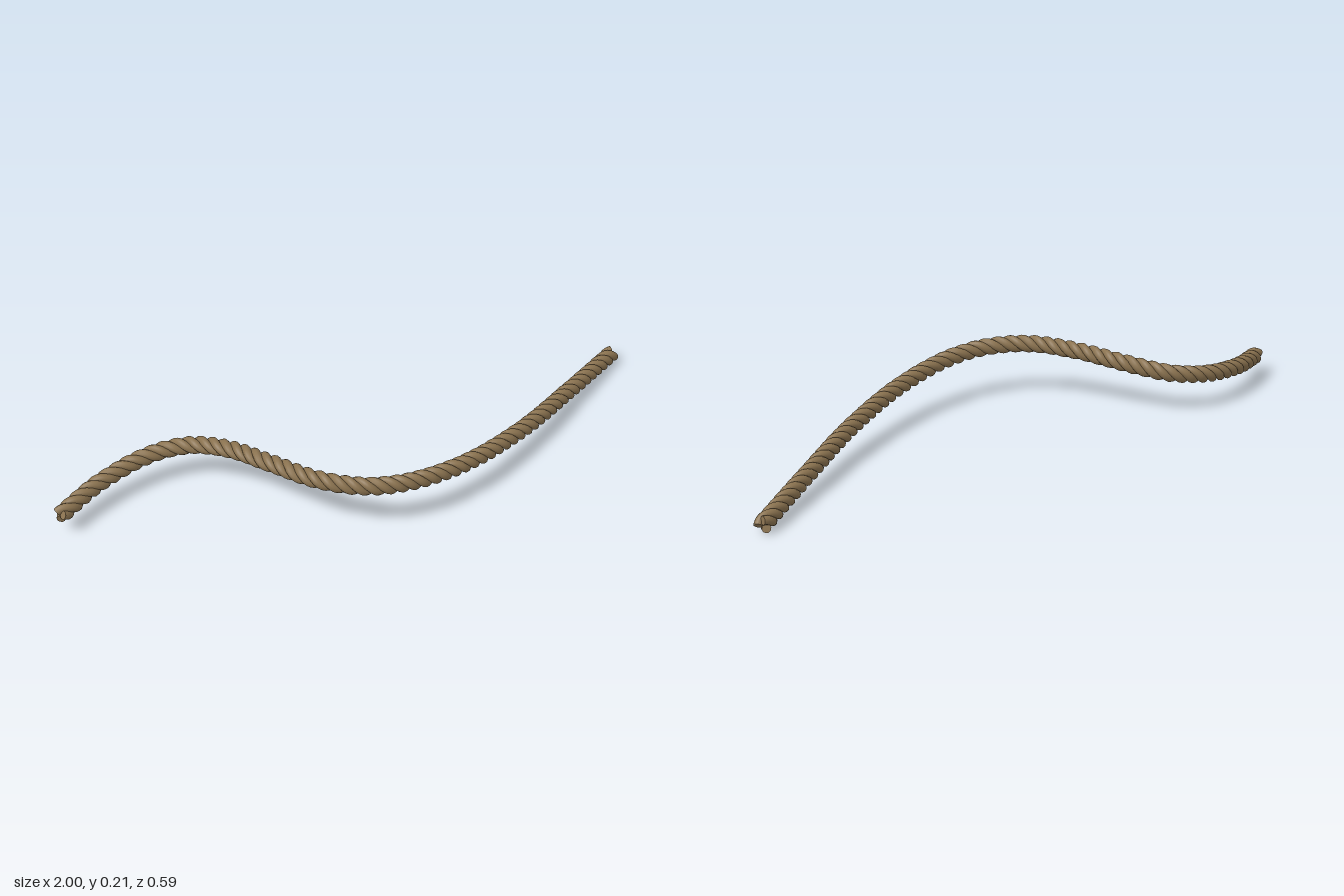
import * as THREE from 'three';

const STRANDS = 3;
const STRAND_RADIUS = 0.0138;
const LAY_RADIUS = 0.0148; // distance of each strand from the rope's centre line
const PITCH = 0.12; // length of one full twist
const SAMPLES = 420;

// Centre line of the rope, from its right end to its left end
const PATH = [
  [-0.985, 0.07, -0.163], [-0.825, 0.09, -0.238], [-0.65, 0.114, -0.268],
  [-0.53, 0.135, -0.232], [-0.44, 0.158, -0.13], [-0.365, 0.175, 0.013],
  [-0.275, 0.18, 0.158], [-0.16, 0.171, 0.24], [-0.025, 0.156, 0.264],
  [0.19, 0.128, 0.227], [0.457, 0.094, 0.115], [0.725, 0.061, -0.04],
  [0.985, 0.029, -0.197],
];

// One strand winding around the centre line
function strandCurve(spine, frames, phase) {
  const turns = spine.getLength() / PITCH;
  const points = [];
  for (let i = 0; i <= SAMPLES; i++) {
    const t = i / SAMPLES;
    const angle = phase + t * turns * Math.PI * 2;
    points.push(spine.getPointAt(t)
      .addScaledVector(frames.normals[i], Math.cos(angle) * LAY_RADIUS)
      .addScaledVector(frames.binormals[i], Math.sin(angle) * LAY_RADIUS));
  }
  const curve = new THREE.CatmullRomCurve3(points);
  curve.arcLengthDivisions = SAMPLES * 3;
  return curve;
}

// Disc closing a strand at t = 0 or t = 1
function endCap(curve, t, material) {
  const cap = new THREE.Mesh(new THREE.CircleGeometry(STRAND_RADIUS, 10), material);
  const outward = curve.getTangentAt(t).multiplyScalar(t === 0 ? -1 : 1);
  cap.position.copy(curve.getPointAt(t));
  cap.quaternion.setFromUnitVectors(new THREE.Vector3(0, 0, 1), outward);
  cap.name = 'strandEnd';
  return cap;
}

export function createModel() {
  const hemp = new THREE.MeshStandardMaterial({ color: 0x8b7350 });
  hemp.name = 'hemp brown';

  const spine = new THREE.CatmullRomCurve3(PATH.map((p) => new THREE.Vector3(...p)));
  spine.arcLengthDivisions = 1000;
  const frames = spine.computeFrenetFrames(SAMPLES, false);

  const rope = new THREE.Group();
  rope.name = 'rope';
  for (let k = 0; k < STRANDS; k++) {
    const curve = strandCurve(spine, frames, (k / STRANDS) * Math.PI * 2);
    const strand = new THREE.Group();
    strand.name = 'strand' + (k + 1);
    const tube = new THREE.Mesh(new THREE.TubeGeometry(curve, SAMPLES, STRAND_RADIUS, 10), hemp);
    tube.name = 'strandBody';
    strand.add(tube, endCap(curve, 0, hemp), endCap(curve, 1, hemp));
    rope.add(strand);
  }
  return rope;
}
